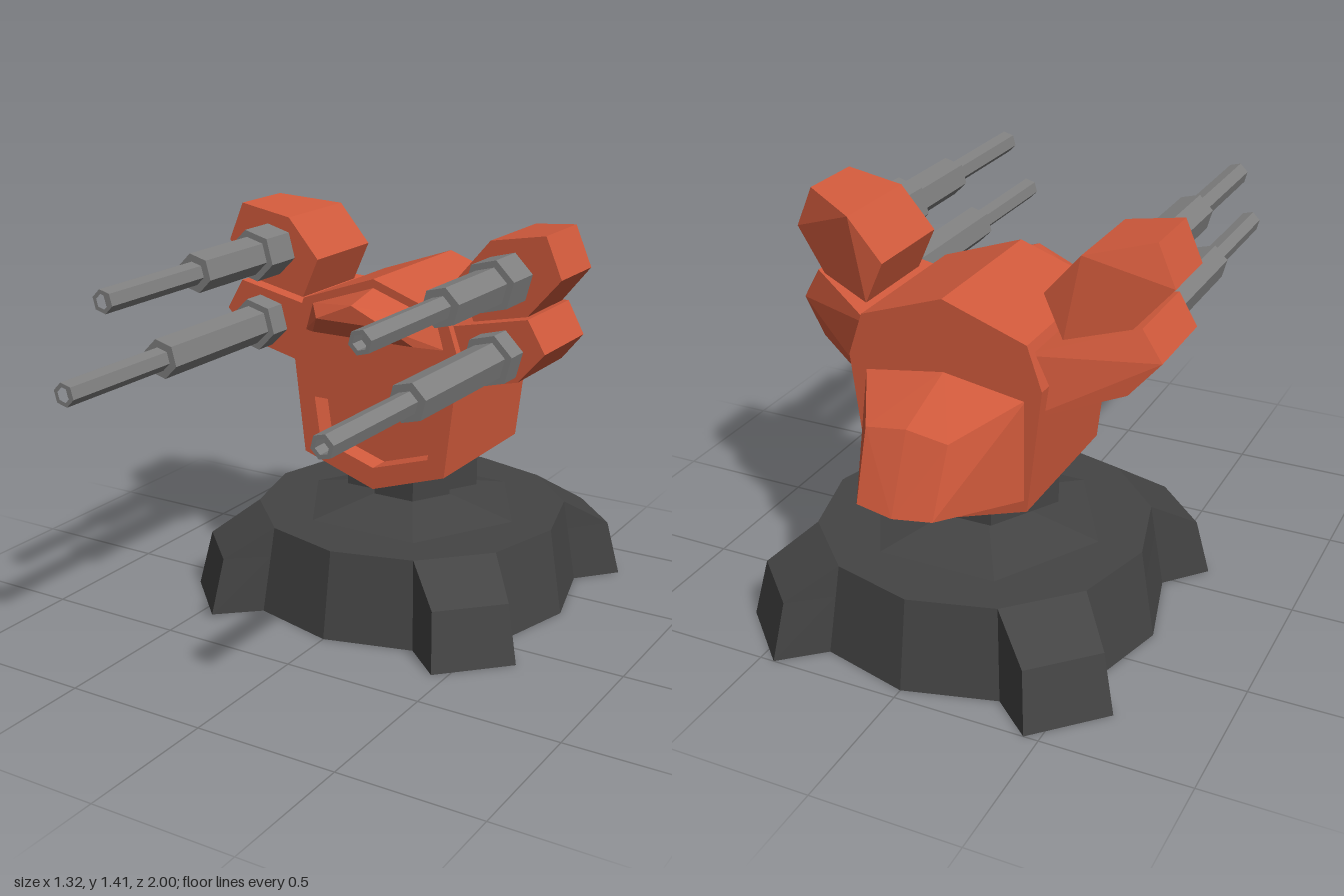
import * as THREE from 'three';
import { ConvexGeometry } from 'three/addons/geometries/ConvexGeometry.js';

const paint = (name, color) => {
  const m = new THREE.MeshStandardMaterial({ color });
  m.name = name;
  return m;
};

const flat = (geometry) => {
  const g = geometry.index ? geometry.toNonIndexed() : geometry;
  g.computeVertexNormals();
  return g;
};

const hull = (points) => new ConvexGeometry(points.map((p) => new THREE.Vector3(...p)));

const outline = (points) => points.map(([x, y]) => new THREE.Vector2(x, y));

// Closed stack of loops, star-shaped around the y axis
function loft(loops) {
  const pos = [];
  const tri = (a, b, c) => pos.push(...a, ...b, ...c);
  const n = loops[0].length;
  const first = loops[0], last = loops[loops.length - 1];
  for (let i = 0; i < n; i++) {
    const j = (i + 1) % n;
    for (let k = 0; k + 1 < loops.length; k++) {
      const a = loops[k], b = loops[k + 1];
      tri(a[i], a[j], b[j]);
      tri(a[i], b[j], b[i]);
    }
    tri([0, first[0][1], 0], first[j], first[i]);
    tri([0, last[0][1], 0], last[i], last[j]);
  }
  const g = new THREE.BufferGeometry();
  g.setAttribute('position', new THREE.Float32BufferAttribute(pos, 3));
  return flat(g);
}

// Twelve-sided ring with four diagonal feet; without foot size the feet fold into the ring
function footedLoop(y, r, footNear, footFar) {
  const c = r * Math.cos(Math.PI / 6), s = r / 2;
  const quarter = [
    [0, r], [s, c],
    footNear ? [footNear, footFar] : [s, c],
    footNear ? [footFar, footNear] : [c, s],
    [c, s],
  ];
  const loop = [];
  for (let q = 0; q < 4; q++) {
    for (const [x, z] of quarter) {
      const [px, pz] = [[x, z], [z, -x], [-x, -z], [-z, x]][q];
      loop.push([px, y, pz]);
    }
  }
  return loop;
}

export function createModel() {
  const model = new THREE.Group();
  const orange = paint('orange armour', 0xd15a3c);
  const dark = paint('dark base', 0x444444);
  const grey = paint('gun metal', 0x808080);

  const add = (name, geometry, material, x = 0, y = 0, z = 0) => {
    const mesh = new THREE.Mesh(geometry, material);
    mesh.name = name;
    mesh.position.set(x, y, z);
    model.add(mesh);
    return mesh;
  };

  // Base and turntable
  const baseZ = -0.34;
  add('base', loft([
    footedLoop(0, 0.62, 0.45, 0.66),
    footedLoop(0.205, 0.587, 0.425, 0.615),
    footedLoop(0.313, 0.57),
  ]), dark, 0, 0, baseZ);
  const hexDisc = (name, top, bottom, y0, y1) => {
    const g = new THREE.CylinderGeometry(top, bottom, y1 - y0, 6);
    g.rotateY(Math.PI / 6);
    add(name, flat(g), dark, 0, (y0 + y1) / 2, baseZ);
  };
  hexDisc('baseCone', 0.165, 0.42, 0.312, 0.37);
  hexDisc('neck', 0.16, 0.16, 0.36, 0.44);
  hexDisc('turntable', 0.27, 0.27, 0.43, 0.53);

  // Body: solid rear block and a front slab with the chest recess cut out
  const bodyShape = () => new THREE.Shape(outline([
    [0, 0.45], [0.285, 0.545], [0.335, 0.97], [0.285, 1.115],
    [0, 1.215], [-0.285, 1.115], [-0.335, 0.97], [-0.285, 0.545],
  ]));
  const recess = 0.08, bodyFront = -0.055, bodyBack = -0.62;
  const slab = (name, shape, z0, z1) =>
    add(name, flat(new THREE.ExtrudeGeometry(shape, { depth: z1 - z0, bevelEnabled: false })), orange, 0, 0, z0);
  slab('bodyRear', bodyShape(), bodyBack, bodyFront - recess);
  const frontShape = bodyShape();
  frontShape.holes.push(new THREE.Path(outline([
    [0, 0.53], [-0.22, 0.6], [-0.243, 0.757], [0.243, 0.757], [0.22, 0.6],
  ])));
  slab('bodyFront', frontShape, bodyFront - recess, bodyFront);

  // Visor
  const visor = [[0, 1.185, -0.06], [0, 1.152, 0.09]];
  // Rear pack
  const pack = [[0, 0.975, -0.61], [0, 0.885, -0.86], [0, 0.635, -0.968], [0, 0.5, -0.61]];
  for (const s of [1, -1]) {
    visor.push([s * 0.25, 1.1, -0.06], [s * 0.28, 1, -0.06], [s * 0.14, 1.09, 0.09], [s * 0.2, 1.02, 0.02]);
    pack.push([s * 0.28, 0.93, -0.61], [s * 0.28, 0.58, -0.61], [s * 0.14, 0.865, -0.86], [s * 0.13, 0.645, -0.95]);
  }
  add('visor', hull(visor), orange);
  add('rearPack', hull(pack), orange);

  // Gun pods: [x, y, back z] corners, extruded from a flat front
  const pods = {
    upper: {
      front: -0.14,
      corners: [[0.28, 1.235, -0.49], [0.4, 1.375, -0.49], [0.6, 1.41, -0.38],
        [0.66, 1.27, -0.38], [0.53, 1.12, -0.42], [0.345, 1.09, -0.49]],
      gunY: 1.255, step: 0.33, tip: 0.8,
    },
    lower: {
      front: -0.085,
      corners: [[0.26, 1.075, -0.61], [0.57, 1.14, -0.41], [0.635, 1.03, -0.4],
        [0.54, 0.922, -0.44], [0.26, 0.855, -0.61]],
      gunY: 1.005, step: 0.53, tip: 1,
    },
  };

  const hexPoints = (r, s) => Array.from({ length: 6 }, (_, i) => {
    const a = s * (Math.PI / 12 + (i * Math.PI) / 3);
    return new THREE.Vector2(r * Math.cos(a), r * Math.sin(a));
  });

  for (const [level, pod] of Object.entries(pods)) {
    for (const s of [1, -1]) {
      const side = s > 0 ? 'Left' : 'Right';
      const points = pod.corners.flatMap(([x, y, z]) => [[s * x, y, pod.front], [s * x, y, z]]);
      add(`${level}Pod${side}`, hull(points), orange);

      // Stepped hexagonal barrel with a hollow muzzle
      const section = (name, r, z0, z1, bore) => {
        const shape = new THREE.Shape(hexPoints(r, s));
        if (bore) shape.holes.push(new THREE.Path(hexPoints(bore, s)));
        const g = new THREE.ExtrudeGeometry(shape, { depth: z1 - z0, bevelEnabled: false });
        add(`${level}${name}${side}`, flat(g), grey, s * 0.467, pod.gunY, z0);
      };
      section('Sleeve', 0.093, pod.front - 0.02, 0);
      section('Barrel', 0.068, 0, pod.step);
      section('ThinBarrel', 0.04, pod.step, pod.tip - 0.05);
      section('Muzzle', 0.04, pod.tip - 0.05, pod.tip, 0.025);
    }
  }
  return model;
}
